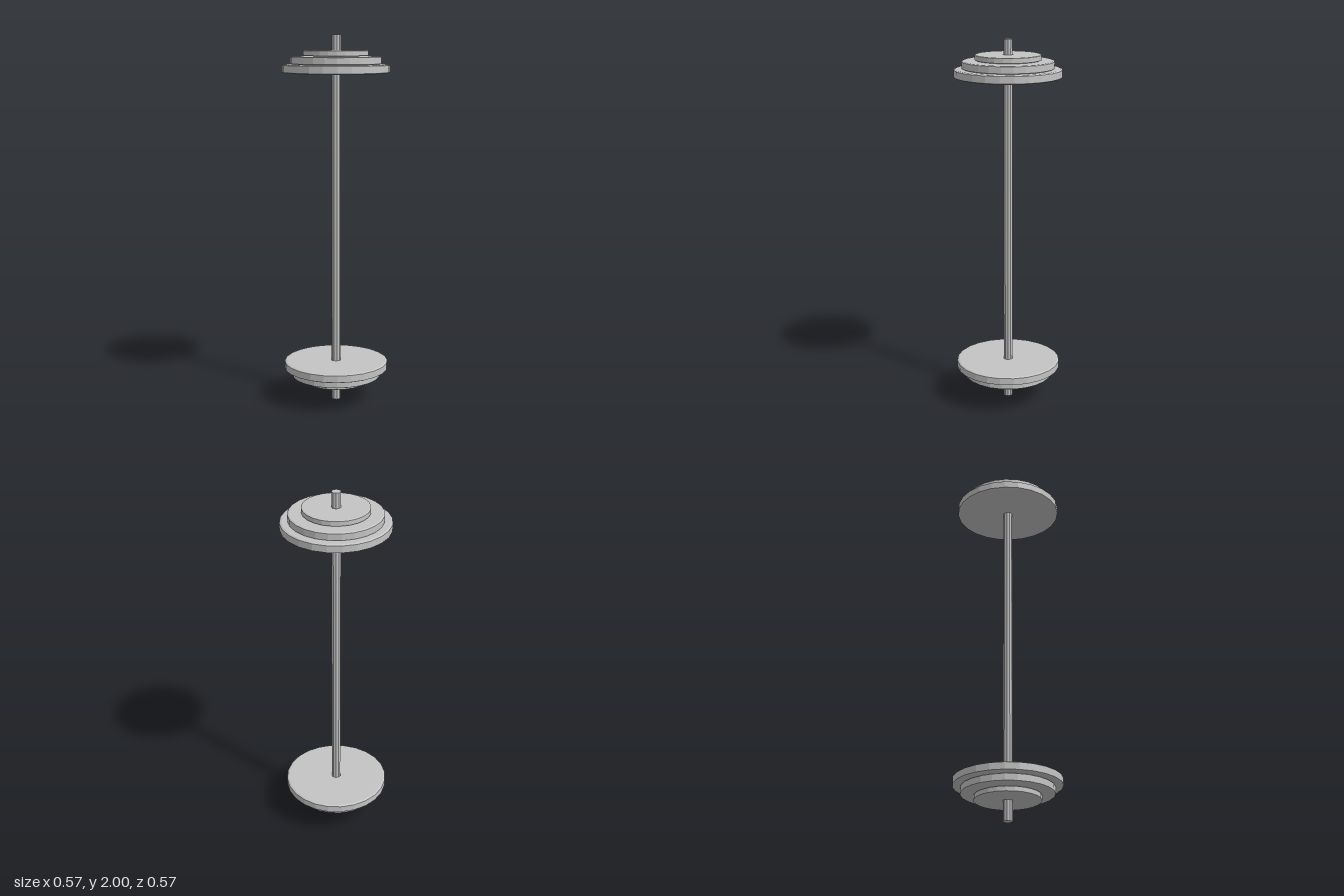
import * as THREE from 'three';

const steel = new THREE.MeshStandardMaterial({ color: 0xc4c4c4, flatShading: true });
steel.name = 'steel grey';

// Disc with shallow bevels and a chamfered centre hole; closed profile, counter-clockwise
function weightPlate(name, radius, y0, y1, bevel) {
  const hole = 0.025, c = 0.006;
  const drop = bevel * 0.45, holeDrop = c * 0.45;
  const profile = [
    [hole, y0 + holeDrop], [hole + c, y0], [radius - bevel, y0], [radius, y0 + drop],
    [radius, y1 - drop], [radius - bevel, y1], [hole + c, y1], [hole, y1 - holeDrop], [hole, y0 + holeDrop],
  ].map(([x, y]) => new THREE.Vector2(x, y));
  const mesh = new THREE.Mesh(new THREE.LatheGeometry(profile, 24), steel);
  mesh.name = name;
  return mesh;
}

// Three plates stacked from large to small, starting at y = 0
function plateStack(name) {
  const stack = new THREE.Group();
  stack.name = name;
  stack.add(
    weightPlate('largePlate', 0.285, 0, 0.046, 0.01),
    weightPlate('mediumPlate', 0.244, 0.046, 0.088, 0.008),
    weightPlate('smallPlate', 0.175, 0.09, 0.12, 0.006),
  );
  return stack;
}

export function createModel() {
  const model = new THREE.Group();
  model.name = 'barbell';

  // Long bar standing on end
  const bar = new THREE.Mesh(new THREE.CylinderGeometry(0.025, 0.025, 2, 10), steel);
  bar.name = 'bar';
  bar.position.y = 1;
  model.add(bar);

  // Weights at both ends, large plates facing the middle
  const upper = plateStack('upperWeights');
  upper.position.y = 1.8;
  const lower = plateStack('lowerWeights');
  lower.rotation.x = Math.PI;
  lower.position.y = 0.225;
  model.add(upper, lower);

  return model;
}
